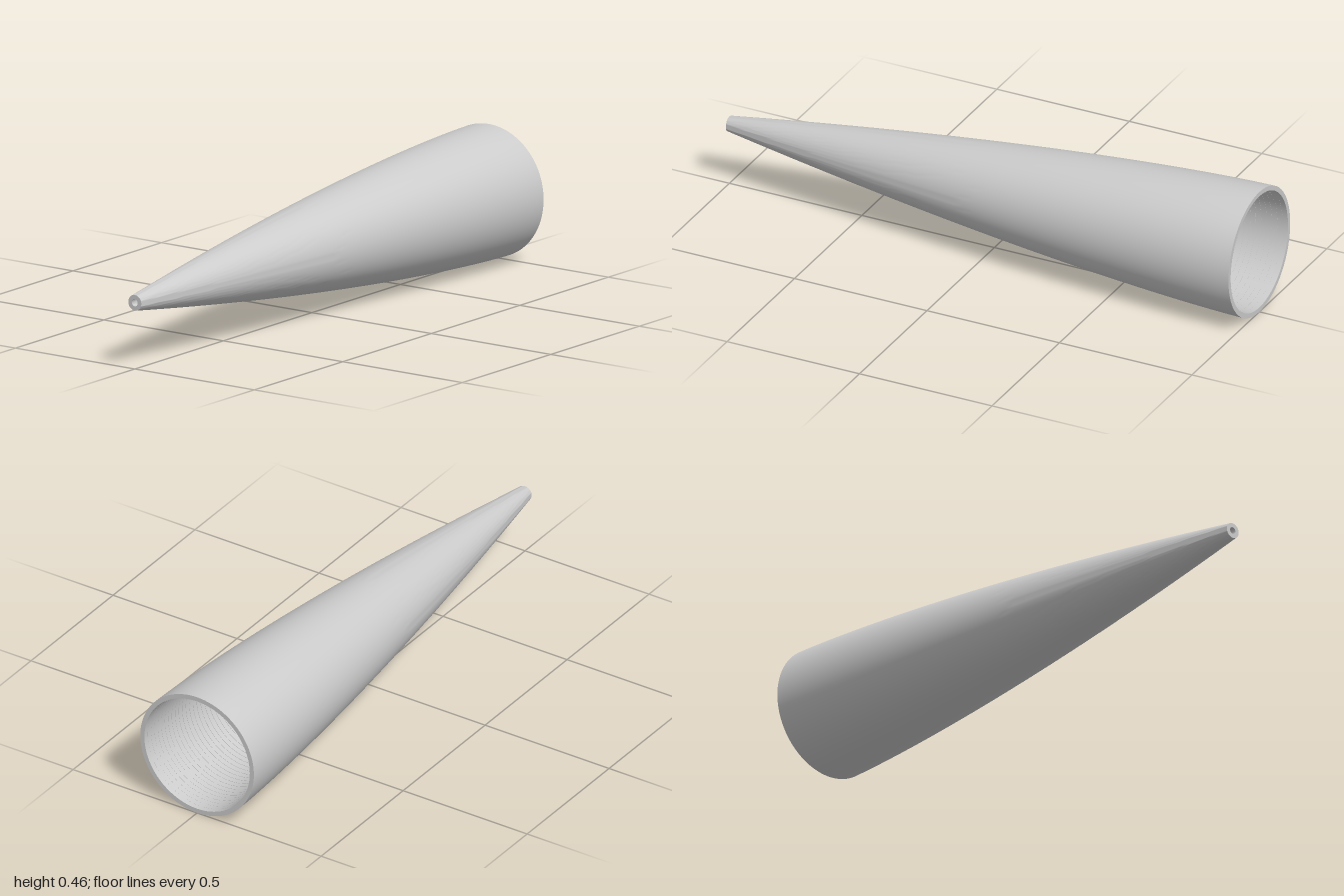
import * as THREE from 'three';
import { toCreasedNormals } from 'three/addons/utils/BufferGeometryUtils.js';

const MOUTH_RADIUS = 0.229;
const WALL = 0.0165;
const STEPS = 100;

// Outer radius at position x along the axis, from narrow tip (-1) to wide mouth (+1)
const outerRadius = (x) => MOUTH_RADIUS - 0.0714 * Math.pow(Math.max(0, 1 - x), 1.5);
const boreRadius = (x) => outerRadius(x) - WALL;

// Revolve a profile around the x axis
function revolve(name, points, material) {
  const geometry = toCreasedNormals(new THREE.LatheGeometry(points, 96), Math.PI / 6);
  geometry.rotateZ(-Math.PI / 2);
  const mesh = new THREE.Mesh(geometry, material);
  mesh.name = name;
  mesh.position.y = MOUTH_RADIUS;
  return mesh;
}

export function createModel() {
  const group = new THREE.Group();
  group.name = 'taperedNozzle';
  const material = new THREE.MeshStandardMaterial({ color: 0xcccccc });

  // Smooth curved outer shell
  const shell = [];
  for (let i = 0; i <= 50; i++) {
    const x = -1 + i * 0.04;
    shell.push(new THREE.Vector2(outerRadius(x), x));
  }
  group.add(revolve('outerShell', shell, material));

  // Finely stepped bore, running from the mouth back to the tip
  const bore = [];
  const length = 2 / STEPS;
  for (let i = STEPS - 1; i >= 0; i--) {
    const x = -1 + i * length;
    const r = boreRadius(x + length / 2);
    bore.push(new THREE.Vector2(r, x + length), new THREE.Vector2(r, x));
  }
  group.add(revolve('steppedBore', bore, material));

  // Flat rims closing the wall at both ends
  const mouth = [shell[shell.length - 1], bore[0]];
  const tip = [bore[bore.length - 1], shell[0]];
  group.add(revolve('mouthRim', mouth, material));
  group.add(revolve('tipRim', tip, material));

  return group;
}
